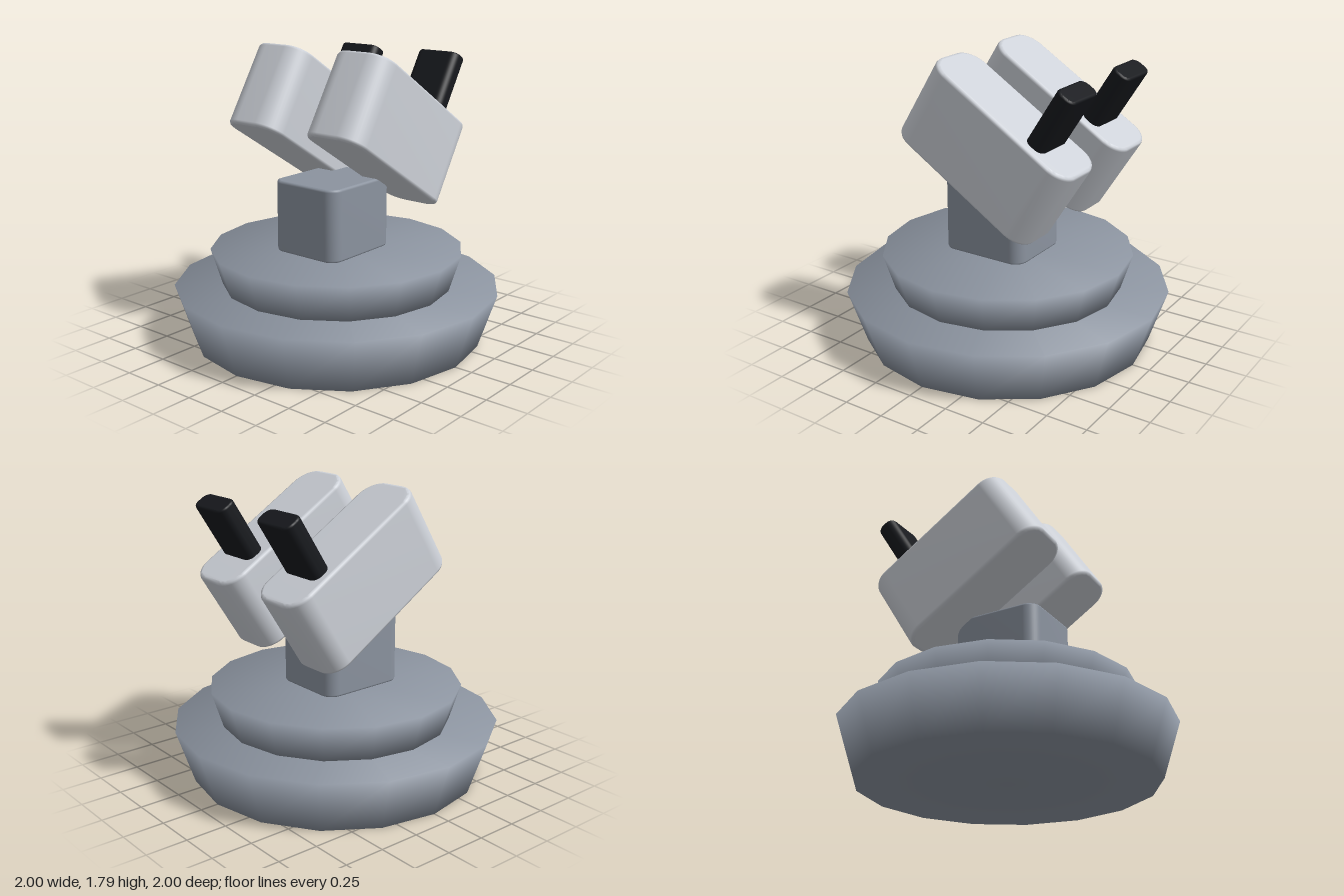
import * as THREE from 'three';
import { mergeVertices } from 'three/addons/utils/BufferGeometryUtils.js';

const material = (color) => new THREE.MeshStandardMaterial({ color });

// Weld all corners so the shading runs smoothly across every edge
function smooth(geometry) {
  geometry.deleteAttribute('normal');
  geometry.deleteAttribute('uv');
  const welded = mergeVertices(geometry, 1e-4);
  welded.computeVertexNormals();
  return welded;
}

// Upright block with rounded vertical corners and a thin bevel, centred on the origin
function roundedBlock(width, height, depth, radius, bevel) {
  const w = width / 2 - bevel, d = depth / 2 - bevel, r = radius - bevel;
  const shape = new THREE.Shape();
  shape.absarc(w - r, d - r, r, 0, Math.PI / 2);
  shape.absarc(-w + r, d - r, r, Math.PI / 2, Math.PI);
  shape.absarc(-w + r, -d + r, r, Math.PI, Math.PI * 1.5);
  shape.absarc(w - r, -d + r, r, Math.PI * 1.5, Math.PI * 2);
  const geometry = new THREE.ExtrudeGeometry(shape, {
    depth: height - 2 * bevel, curveSegments: 5,
    bevelThickness: bevel, bevelSize: bevel, bevelSegments: 2,
  });
  geometry.translate(0, 0, bevel - height / 2);
  geometry.rotateX(-Math.PI / 2);
  return smooth(geometry);
}

export function createModel() {
  const model = new THREE.Group();
  model.name = 'twinPodTurret';
  const steel = material(0x8b939f);
  const shell = material(0xcdd1d8);
  const black = material(0x17191d);

  const add = (parent, name, geometry, mat, x, y, z) => {
    const mesh = new THREE.Mesh(geometry, mat);
    mesh.name = name;
    mesh.position.set(x, y, z);
    parent.add(mesh);
  };

  // Two stacked discs that flare towards the top
  add(model, 'lowerDisc', smooth(new THREE.CylinderGeometry(1, 0.89, 0.335, 16)), steel, 0, 0.1675, 0);
  add(model, 'upperDisc', smooth(new THREE.CylinderGeometry(0.775, 0.705, 0.225, 16)), steel, 0, 0.4475, 0);

  // Pedestal block
  add(model, 'pedestal', roundedBlock(0.48, 0.44, 0.56, 0.08, 0.015), steel, 0, 0.78, 0.04);

  // Pair of pods tilted upwards, each with a dark fin near the back
  const podGeometry = roundedBlock(0.4, 0.53, 1.04, 0.13, 0.02);
  const finGeometry = roundedBlock(0.295, 0.42, 0.125, 0.05, 0.012);
  for (const side of [-1, 1]) {
    const pod = new THREE.Group();
    pod.name = side > 0 ? 'leftPod' : 'rightPod';
    pod.position.set(side * 0.307, 1.3, -0.11);
    pod.rotation.x = THREE.MathUtils.degToRad(-32);
    add(pod, 'podBody', podGeometry, shell, 0, 0, 0);
    add(pod, 'fin', finGeometry, black, 0, 0.415, -0.242);
    model.add(pod);
  }
  return model;
}
